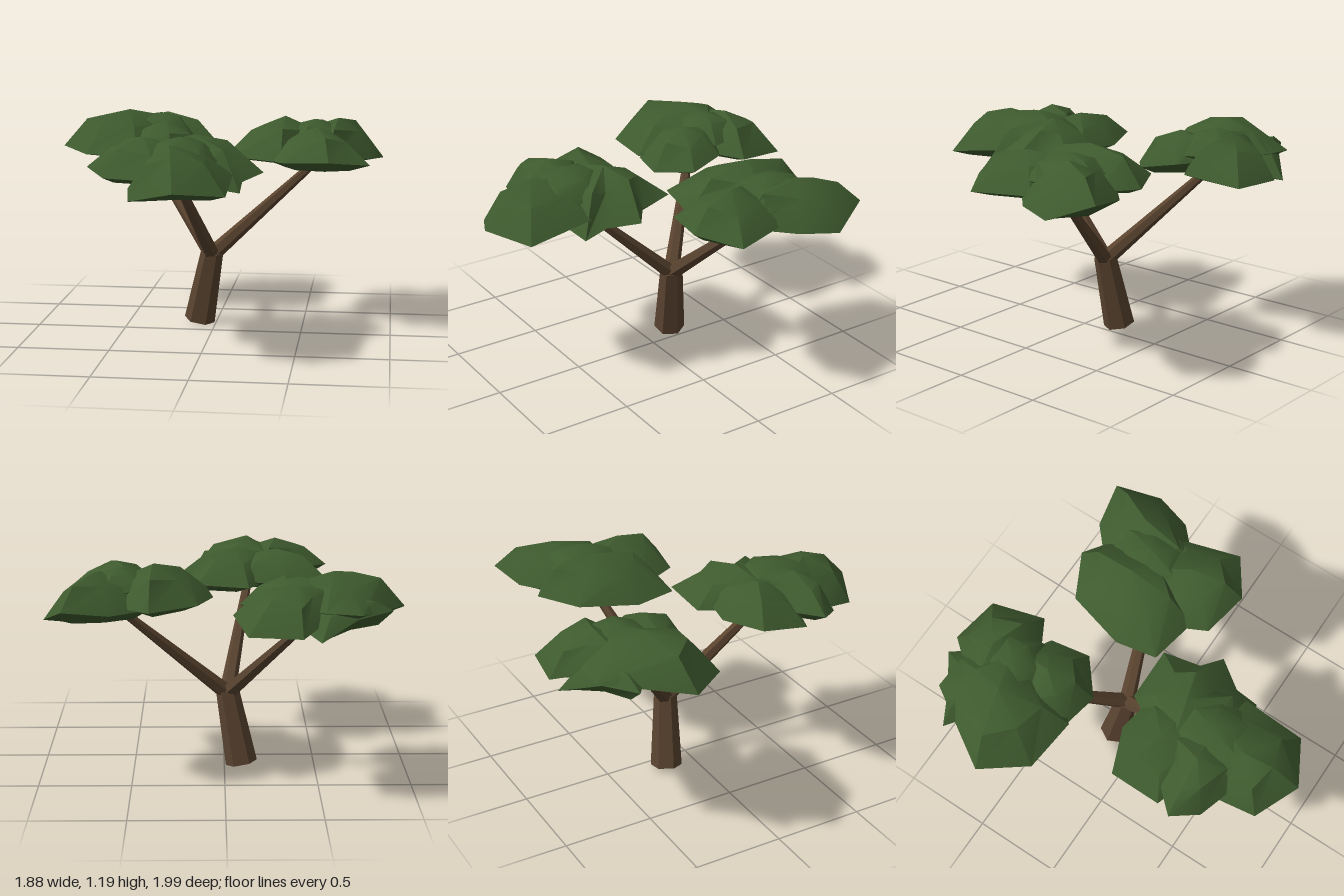
import * as THREE from 'three';
import { toCreasedNormals } from 'three/addons/utils/BufferGeometryUtils.js';

const bark = new THREE.MeshStandardMaterial({ color: 0x59432f });
bark.name = 'bark brown';
const leaf = new THREE.MeshStandardMaterial({ color: 0x3e5a2e });
leaf.name = 'leaf green';

// Tapered faceted limb between two points
function limb(name, from, to, r0, r1) {
  const a = new THREE.Vector3(...from), b = new THREE.Vector3(...to);
  const dir = b.clone().sub(a);
  const geo = new THREE.CylinderGeometry(r1, r0, dir.length(), 6, 1, false, Math.PI / 6).toNonIndexed();
  geo.computeVertexNormals();
  const mesh = new THREE.Mesh(geo, bark);
  mesh.name = name;
  mesh.position.copy(a).add(b).multiplyScalar(0.5);
  mesh.quaternion.setFromUnitVectors(new THREE.Vector3(0, 1, 0), dir.normalize());
  return mesh;
}

// Flattened leaf clump: rings lofted from an outline of [x, z, rim height]
function clump(name, { outline, top, bottom, peak }) {
  const n = outline.length;
  let cx = 0, cz = 0;
  for (const [x, z] of outline) { cx += x / n; cz += z / n; }
  const [px, pz] = peak || [cx, cz];
  const ring = (scale, height, ox, oz) => outline.map(([x, z, y = 0.96], i) => {
    const s = scale + (scale < 1 ? 0.07 * Math.sin(i * 2.4 + cx * 9) : 0);
    return [ox + (x - ox) * s, height(y, i), oz + (z - oz) * s];
  });
  const rings = [
    ring(0.65, y => bottom + 0.3 * (y - bottom), cx, cz),
    ring(1, y => y, cx, cz),
    ring(0.58, (y, i) => y + (top - y) * (0.7 + 0.1 * Math.sin(i * 1.9 + cz * 7)), px, pz),
  ];
  const pos = [];
  const tri = (...pts) => pts.forEach(p => pos.push(...p));
  for (let i = 0; i < n; i++) {
    const j = (i + 1) % n;
    tri([cx, bottom, cz], rings[0][i], rings[0][j]);
    for (let k = 0; k < 2; k++) {
      const lo = rings[k], hi = rings[k + 1];
      tri(lo[i], hi[i], lo[j]);
      tri(lo[j], hi[i], hi[j]);
    }
    tri([px, top, pz], rings[2][j], rings[2][i]);
  }
  const geo = new THREE.BufferGeometry();
  geo.setAttribute('position', new THREE.Float32BufferAttribute(pos, 3));
  const mesh = new THREE.Mesh(toCreasedNormals(geo, 0.6), leaf);
  mesh.name = name;
  return mesh;
}

// Canopies, each on its own branch; the last clump of each is its crown
const canopies = {
  backRight: {
    tip: [-0.47, 0.96, -0.57],
    clumps: [
      { top: 1.19, bottom: 0.93, peak: [-0.56, -0.56], outline: [[-0.94, -0.46, 0.98], [-0.68, -0.88, 1.03],
        [-0.5, -0.87, 1.04], [-0.26, -0.66, 1], [-0.26, -0.42, 0.98], [-0.46, -0.2, 0.96], [-0.76, -0.23, 0.96]] },
      { top: 1.16, bottom: 0.92, peak: [-0.36, -0.74], outline: [[-0.64, -0.7, 0.98], [-0.5, -0.85, 0.99], [-0.38, -0.995, 0.94],
        [-0.11, -0.95, 0.94], [-0.04, -0.65, 0.98], [-0.27, -0.52, 0.98], [-0.5, -0.48, 0.98]] },
      { top: 1.14, bottom: 0.9, peak: [-0.32, -0.42], outline: [[-0.62, -0.4, 0.96], [-0.5, -0.6, 0.98], [-0.3, -0.64, 1], [-0.13, -0.54, 1],
        [-0.08, -0.33, 0.96], [-0.26, -0.18, 0.93], [-0.48, -0.22, 0.94]] },
      { top: 1.09, bottom: 0.92, outline: [[-0.85, -0.73, 1.02], [-0.66, -0.84, 1], [-0.47, -0.99, 0.92],
        [-0.32, -0.75, 0.98], [-0.55, -0.52, 0.98]] },
      { top: 1.17, bottom: 0.98, outline: [[-0.58, -0.62, 1.08], [-0.44, -0.82, 1.08], [-0.22, -0.78, 1.05],
        [-0.18, -0.55, 1.04], [-0.32, -0.42, 1.06], [-0.52, -0.45, 1.08]] },
    ],
  },
  left: {
    tip: [0.58, 0.95, -0.32],
    clumps: [
      { top: 1.185, bottom: 0.94, peak: [0.38, -0.36], outline: [[0.06, -0.25, 0.98], [0.14, -0.57, 1.01],
        [0.39, -0.7, 1], [0.56, -0.58, 1], [0.66, -0.26, 0.98], [0.38, 0.03, 0.97], [0.1, -0.02, 0.99]] },
      { top: 1.165, bottom: 0.91, peak: [0.68, -0.47], outline: [[0.32, -0.3, 0.97], [0.4, -0.55, 0.98], [0.59, -0.72, 0.99], [0.83, -0.765, 1.02],
        [0.94, -0.54, 0.93], [0.87, -0.33, 0.95], [0.65, -0.12, 0.95]] },
      { top: 1.15, bottom: 0.91, peak: [0.58, -0.1], outline: [[0.28, -0.1, 0.97], [0.45, -0.36, 0.98], [0.77, -0.29, 0.97],
        [0.87, 0.03, 0.96], [0.65, 0.18, 0.99], [0.39, 0.13, 0.98]] },
      { top: 1.17, bottom: 0.98, outline: [[0.3, -0.3, 1.06], [0.42, -0.52, 1.08], [0.62, -0.6, 1.07],
        [0.76, -0.42, 1.05], [0.72, -0.2, 1.03], [0.48, -0.08, 1.05]] },
    ],
  },
  front: {
    tip: [-0.15, 0.96, 0.45],
    clumps: [
      { top: 1.15, bottom: 0.91, peak: [-0.06, 0.28], outline: [[-0.34, 0.35, 0.97], [-0.14, 0, 0.97], [0.15, 0, 0.99],
        [0.2, 0.2, 0.97], [0.31, 0.28, 0.95], [0.21, 0.43, 0.92], [0.21, 0.56, 0.88], [-0.1, 0.62, 0.94]] },
      { top: 1.14, bottom: 0.93, peak: [-0.3, 0.28], outline: [[-0.57, 0.15, 1], [-0.32, 0.05, 0.98], [-0.1, 0.09, 0.99],
        [0.04, 0.32], [-0.2, 0.55], [-0.56, 0.43, 0.95]] },
      { top: 1.16, bottom: 0.92, peak: [-0.3, 0.5], outline: [[-0.6, 0.52, 1], [-0.49, 0.4, 1.01], [-0.24, 0.28, 1.01],
        [0, 0.48, 1], [-0.2, 0.74], [-0.49, 0.65, 0.96]] },
      { top: 1.14, bottom: 0.87, peak: [-0.14, 0.68], outline: [[-0.36, 0.66, 0.91], [-0.28, 0.45, 0.97], [0, 0.36, 1], [0.17, 0.5, 0.97],
        [0.17, 0.86, 0.91], [-0.08, 0.995, 0.94], [-0.32, 0.88, 0.88]] },
      { top: 1.16, bottom: 0.98, outline: [[-0.36, 0.5, 1.06], [-0.26, 0.28, 1.07], [-0.04, 0.24, 1.07],
        [0.1, 0.42, 1.04], [0.06, 0.66, 1.03], [-0.2, 0.76, 1.05]] },
    ],
  },
};

export function createModel() {
  const tree = new THREE.Group();
  tree.name = 'tree';

  // Leaning trunk
  tree.add(limb('trunk', [-0.095, 0.018, -0.175], [-0.018, 0.425, -0.135], 0.088, 0.064));

  // Branches and their canopies
  for (const [side, { tip, clumps }] of Object.entries(canopies)) {
    tree.add(limb(side + 'Branch', [-0.018, 0.41, -0.135], tip, 0.046, 0.021));
    const canopy = new THREE.Group();
    canopy.name = side + 'Canopy';
    clumps.forEach((c, i) => canopy.add(clump('leafClump' + (i + 1), c)));
    tree.add(canopy);
  }
  return tree;
}
